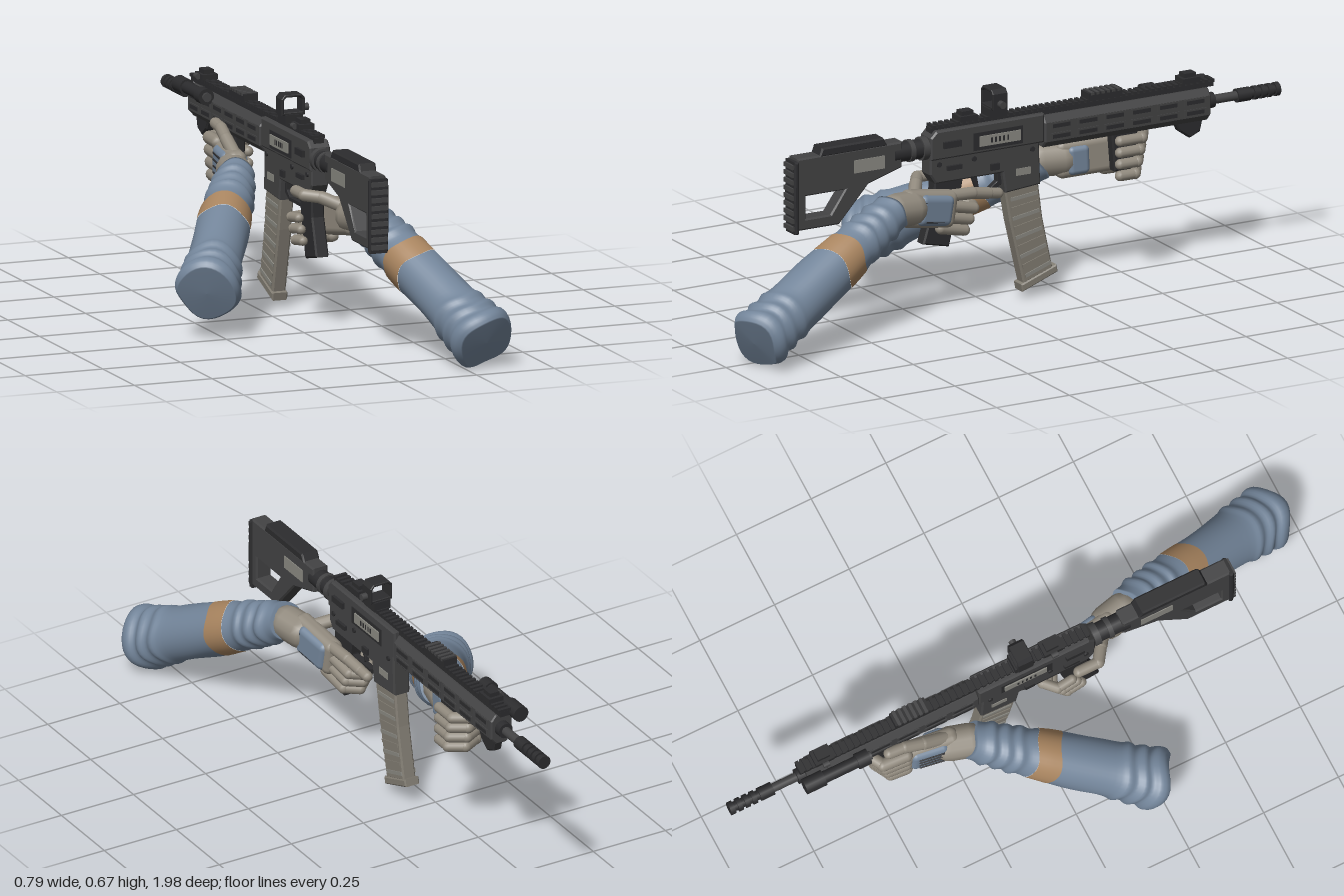
import * as THREE from 'three';
import { RoundedBoxGeometry } from 'three/addons/geometries/RoundedBoxGeometry.js';

const mat = (name, color) => new THREE.MeshStandardMaterial({ name, color });
const V = (p) => new THREE.Vector3(...p);
const CX = 0.068; // centre plane of the rifle

export function createModel() {
  const root = new THREE.Group();
  const gunmetal = mat('gunmetal', 0x434344), black = mat('black', 0x2c2c2e);
  const cloth = mat('sleeve blue', 0x73859a), tan = mat('tan band', 0xa8845f);
  const glove = mat('glove grey', 0x918a7e), magMat = mat('magazine grey', 0x817c72);
  const panel = mat('pale panel', 0x8a8982);

  const add = (name, geo, m, parent = root) => {
    const mesh = new THREE.Mesh(geo, m);
    mesh.name = name;
    parent.add(mesh);
    return mesh;
  };
  const group = (name) => {
    const g = new THREE.Group();
    g.name = name;
    root.add(g);
    return g;
  };
  const box = (name, m, w, h, d, x, y, z, parent) => {
    const b = add(name, new THREE.BoxGeometry(w, h, d), m, parent);
    b.position.set(x, y, z);
    return b;
  };
  const outline = (pts, Type = THREE.Shape) => new Type(pts.map((p) => new THREE.Vector2(...p)));
  const extrude = (pts, depth, bevel, holes = []) => {
    const s = outline(pts);
    s.holes = holes.map((h) => outline(h, THREE.Path));
    const g = new THREE.ExtrudeGeometry(s, {
      depth: depth - 2 * bevel, bevelEnabled: bevel > 0, bevelSize: bevel,
      bevelThickness: bevel, bevelOffset: -bevel, bevelSegments: 1,
    });
    return g.translate(0, 0, bevel - depth / 2);
  };
  // Side profile given as [z, y], extruded across x
  const side = (name, m, pts, width, parent, holes, bevel = 0.005) => {
    const g = extrude(pts, width, bevel, holes).rotateY(-Math.PI / 2).translate(CX, 0, 0);
    return add(name, g, m, parent);
  };
  // Cylinder along z
  const rod = (name, m, r, z0, z1, x, y, parent, n = 18) => {
    const g = new THREE.CylinderGeometry(r, r, Math.abs(z1 - z0), n).rotateX(Math.PI / 2);
    return add(name, g.translate(x, y, (z0 + z1) / 2), m, parent);
  };

  // Receiver and magazine well
  const rec = group('receiver');
  side('upperReceiver', gunmetal, [[0.21, 0.505], [0.21, 0.575], [0.19, 0.595], [-0.18, 0.595], [-0.18, 0.505]], 0.066, rec);
  side('lowerReceiver', gunmetal, [[0.21, 0.51], [-0.165, 0.51], [-0.17, 0.375], [-0.05, 0.365], [-0.04, 0.43], [0.19, 0.43], [0.21, 0.46]], 0.056, rec);
  box('ejectionFrame', black, 0.07, 0.055, 0.17, CX, 0.543, -0.02, rec);
  box('ejectionCover', panel, 0.078, 0.032, 0.14, CX, 0.543, -0.025, rec);
  for (let i = 0; i < 5; i++) box('coverNotch', black, 0.08, 0.016, 0.006, CX, 0.543, 0.005 - i * 0.014, rec);
  box('forwardAssist', black, 0.084, 0.02, 0.06, CX, 0.55, 0.14, rec);
  box('magazineCatch', black, 0.072, 0.02, 0.03, CX, 0.455, -0.01, rec);
  box('selector', black, 0.074, 0.014, 0.05, CX, 0.475, 0.13, rec);
  box('magazineWellPanel', panel, 0.06, 0.022, 0.05, CX, 0.425, -0.11, rec);
  for (const z of [0.18, 0.06, -0.14]) {
    const pin = add('pin', new THREE.CylinderGeometry(0.008, 0.008, 0.066, 10), black, rec);
    pin.rotation.z = Math.PI / 2;
    pin.position.set(CX, 0.49, z);
  }
  side('triggerGuard', black, [[0.11, 0.435], [-0.045, 0.435], [-0.045, 0.39], [-0.01, 0.37], [0.11, 0.37]], 0.02, rec,
    [[[0.1, 0.425], [-0.03, 0.425], [-0.03, 0.4], [-0.005, 0.382], [0.1, 0.382]]], 0.001);
  side('trigger', black, [[0.06, 0.44], [0.04, 0.44], [0.03, 0.39], [0.04, 0.385]], 0.012, rec, [], 0.001);
  side('grip', black, [[0.19, 0.44], [0.09, 0.44], [0.105, 0.36], [0.14, 0.225], [0.23, 0.245], [0.195, 0.36]], 0.042, rec);

  // Curved ribbed magazine
  const mag = group('magazine');
  side('magazineBody', magMat, [[-0.045, 0.4], [-0.068, 0.27], [-0.115, 0.07], [-0.215, 0.105], [-0.18, 0.27], [-0.163, 0.4]], 0.044, mag);
  side('magazineBase', magMat, [[-0.105, 0.07], [-0.11, 0.046], [-0.232, 0.092], [-0.226, 0.115]], 0.05, mag, [], 0.004);
  for (let i = 0; i < 9; i++) {
    const t = i / 8, y = 0.345 - 0.235 * t;
    const rib = box('magazineRib', i % 2 ? magMat : panel, 0.05, 0.011, 0.092, CX, y, -0.115 - 0.018 * t - 0.03 * t * t, mag);
    rib.rotation.x = 0.1 + 0.24 * t;
  }

  // Octagonal handguard with slots
  const hand = group('handguard');
  const oct = [[-0.018, 0.485], [0.018, 0.485], [0.036, 0.505], [0.036, 0.565], [0.02, 0.585], [-0.02, 0.585], [-0.036, 0.565], [-0.036, 0.505]];
  add('handguardTube', extrude(oct, 0.57, 0.004).translate(CX, 0, -0.465), gunmetal, hand);
  for (let i = 0; i < 6; i++) {
    const z = -0.235 - i * 0.092;
    for (const y of [0.553, 0.52]) {
      box('slotRim', gunmetal, 0.077, 0.022, 0.074, CX, y, z, hand);
      box('slot', black, 0.08, 0.012, 0.06, CX, y, z, hand);
    }
    box('lowerSlot', black, 0.014, 0.006, 0.06, CX, 0.484, z, hand);
  }
  // Top rail with teeth
  box('railBase', black, 0.032, 0.016, 0.97, CX, 0.594, -0.285, hand);
  for (let i = 0; i < 48; i++) box('railTooth', black, 0.042, 0.01, 0.011, CX, 0.605, 0.19 - i * 0.0203, hand);
  box('railCover', black, 0.046, 0.024, 0.115, CX, 0.618, -0.395, hand);
  for (let i = 0; i < 6; i++) box('railCoverRib', gunmetal, 0.05, 0.008, 0.01, CX, 0.628, -0.35 - i * 0.018, hand);
  side('handStop', black, [[-0.64, 0.49], [-0.655, 0.46], [-0.69, 0.435], [-0.725, 0.45], [-0.735, 0.49]], 0.032, hand);
  side('foregrip', black, [[-0.42, 0.49], [-0.43, 0.37], [-0.5, 0.37], [-0.51, 0.49]], 0.035, hand);

  // Barrel and ringed muzzle
  const barrel = group('barrel');
  rod('barrelTube', gunmetal, 0.014, -0.74, -0.88, CX, 0.538, barrel);
  rod('barrelCollar', black, 0.024, -0.745, -0.775, CX, 0.538, barrel);
  rod('muzzleCore', black, 0.015, -0.86, -0.998, CX, 0.538, barrel);
  rod('muzzleSleeve', black, 0.021, -0.855, -0.9, CX, 0.538, barrel);
  for (let i = 0; i < 3; i++) rod('muzzleRing', black, 0.021, -0.912 - i * 0.024, -0.926 - i * 0.024, CX, 0.538, barrel);
  rod('muzzleTip', black, 0.021, -0.985, -1.0, CX, 0.538, barrel);

  // Torch on its side mount
  const torch = group('torch');
  rod('torchBody', black, 0.019, -0.58, -0.72, 0.015, 0.58, torch);
  rod('torchHead', black, 0.025, -0.71, -0.775, 0.015, 0.58, torch);
  rod('torchCap', black, 0.025, -0.56, -0.6, 0.015, 0.58, torch);
  rod('torchButton', gunmetal, 0.014, -0.552, -0.562, 0.015, 0.58, torch);
  box('torchMount', gunmetal, 0.035, 0.025, 0.07, 0.035, 0.575, -0.65, torch);

  // Optic and folding sights
  const sight = group('optic');
  const frame = [[-0.038, 0.632], [0.038, 0.632], [0.038, 0.682], [0.027, 0.695], [-0.027, 0.695], [-0.038, 0.682]];
  const hole = [[-0.03, 0.641], [0.03, 0.641], [0.03, 0.679], [0.023, 0.687], [-0.023, 0.687], [-0.03, 0.679]];
  add('opticFrame', extrude(frame, 0.05, 0.002, [hole]).translate(CX, 0, -0.025), black, sight);
  box('opticBase', black, 0.055, 0.03, 0.06, CX, 0.62, -0.025, sight);
  const knob = add('opticKnob', new THREE.CylinderGeometry(0.011, 0.011, 0.02, 14).rotateZ(Math.PI / 2), gunmetal, sight);
  knob.position.set(0.114, 0.65, -0.025);
  for (const z of [0.075, -0.69]) {
    box('foldingSightBase', black, 0.05, 0.016, 0.06, CX, 0.617, z, sight);
    box('foldingSightLeaf', black, 0.032, 0.014, 0.04, CX, 0.631, z, sight);
    rod('foldingSightKnob', gunmetal, 0.009, z - 0.01, z + 0.01, CX - 0.03, 0.617, sight, 10);
  }

  // Stock and its tube
  const stock = group('stock');
  rod('stockTube', black, 0.03, 0.2, 0.33, CX, 0.54, stock);
  rod('stockRing', gunmetal, 0.036, 0.212, 0.232, CX, 0.54, stock);
  rod('stockRing', gunmetal, 0.034, 0.26, 0.275, CX, 0.54, stock);
  side('stockBody', gunmetal, [[0.665, 0.58], [0.305, 0.58], [0.305, 0.5], [0.42, 0.465], [0.52, 0.355], [0.665, 0.355]], 0.052, stock,
    [[[0.635, 0.46], [0.5, 0.46], [0.55, 0.39], [0.635, 0.39]]]);
  side('cheekRest', black, [[0.59, 0.575], [0.58, 0.602], [0.37, 0.602], [0.355, 0.575]], 0.056, stock);
  box('stockPanel', panel, 0.057, 0.04, 0.105, CX, 0.527, 0.418, stock);
  side('buttPad', black, [[0.66, 0.572], [0.676, 0.572], [0.678, 0.45], [0.674, 0.345], [0.66, 0.345]], 0.062, stock);
  for (let i = 0; i < 9; i++) box('buttRib', gunmetal, 0.052, 0.014, 0.014, CX, 0.556 - i * 0.024, 0.676, stock);

  // Wrinkled sleeve from elbow to wrist, in three bands of cloth
  const smooth = (pts) => new THREE.SplineCurve(pts.map(([t, r]) => new THREE.Vector2(r, t))).getPoints(pts.length * 3);
  const lower = smooth([[0, 0.086], [0.025, 0.098], [0.06, 0.1], [0.095, 0.089], [0.13, 0.096], [0.17, 0.086], [0.21, 0.092], [0.26, 0.084], [0.4, 0.081], [0.56, 0.079]]);
  const upper = smooth([[0.68, 0.076], [0.73, 0.071], [0.77, 0.077], [0.8, 0.068], [0.84, 0.073], [0.875, 0.063], [0.91, 0.07], [0.95, 0.06], [1, 0.059]]);
  lower.unshift(new THREE.Vector2(0, -0.005));
  upper.push(new THREE.Vector2(0, 1));
  const middle = smooth([[0.56, 0.08], [0.62, 0.079], [0.68, 0.077]]);
  const sleeve = (name, from, to, phase) => {
    const g = group(name), a = V(from), dir = V(to).sub(a), len = dir.length();
    [['lowerSleeve', lower, cloth], ['sleeveBand', middle, tan], ['upperSleeve', upper, cloth]].forEach(([n, pts, m]) => {
      const geo = new THREE.LatheGeometry(pts.map((p) => new THREE.Vector2(p.x, p.y * len)), 36);
      const pos = geo.attributes.position;
      for (let i = 0; i < pos.count; i++) {
        const x = pos.getX(i), y = pos.getY(i), z = pos.getZ(i);
        const ang = Math.atan2(z, x), t = y / len, r = Math.hypot(x, z);
        const k = 1 + 0.03 * Math.sin(2 * ang + 9 * t + phase) + 0.014 * Math.sin(5 * ang - 18 * t + phase);
        pos.setXYZ(i, x * k, y + 0.1 * r * Math.sin(3 * ang + phase), z * k);
      }
      add(n, geo, m, g);
    });
    g.position.copy(a);
    g.quaternion.setFromUnitVectors(new THREE.Vector3(0, 1, 0), dir.normalize());
  };
  sleeve('leftSleeve', [0.309, 0.106, 0.935], [0.15, 0.39, 0.37], 0);
  sleeve('rightSleeve', [-0.313, 0.17, 0.25], [-0.02, 0.41, -0.24], 2);

  // Gloved hands: capsules for joints, rounded slabs for palms
  const limb = (name, a, b, r, m, parent) => {
    const p = V(a), d = V(b).sub(p), l = d.length();
    const c = add(name, new THREE.CapsuleGeometry(r, l, 4, 12), m, parent);
    c.position.copy(p).addScaledVector(d, 0.5);
    c.quaternion.setFromUnitVectors(new THREE.Vector3(0, 1, 0), d.normalize());
  };
  const finger = (name, pts, r, parent) => {
    for (let i = 0; i + 1 < pts.length; i++) limb(name, pts[i], pts[i + 1], r * (1 - 0.06 * i), glove, parent);
  };
  const slab = (name, a, b, w, h, m, parent) => {
    const p = V(a), q = V(b);
    const s = add(name, new RoundedBoxGeometry(w, h, p.distanceTo(q), 3, Math.min(w, h) * 0.4), m, parent);
    s.position.copy(p).add(q).multiplyScalar(0.5);
    s.lookAt(q);
  };

  // Hand around the pistol grip
  const h1 = group('gripHand');
  limb('gloveCuff', [0.148, 0.387, 0.36], [0.135, 0.382, 0.3], 0.053, glove, h1);
  slab('palm', [0.132, 0.385, 0.33], [0.112, 0.352, 0.14], 0.058, 0.115, glove, h1);
  slab('backOfHand', [0.146, 0.378, 0.285], [0.128, 0.354, 0.16], 0.05, 0.095, cloth, h1);
  for (let i = 0; i < 4; i++) slab('gloveSlit', [0.165, 0.401 - i * 0.02, 0.265], [0.152, 0.385 - i * 0.02, 0.18], 0.006, 0.005, black, h1);
  finger('indexFinger', [[0.118, 0.395, 0.16], [0.112, 0.39, 0.075], [0.104, 0.378, 0.015], [0.1, 0.372, -0.02]], 0.019, h1);
  for (let i = 0; i < 3; i++) {
    const y = 0.362 - i * 0.032, z = i * 0.016;
    finger('curledFinger', [[0.118, y, 0.155 + z], [0.11, y - 0.02, 0.07 + z], [0.065, y - 0.026, 0.048 + z], [0.028, y - 0.02, 0.08 + z], [0.032, y - 0.014, 0.13 + z]], 0.018, h1);
  }
  finger('thumb', [[0.105, 0.41, 0.27], [0.06, 0.43, 0.24], [0.016, 0.435, 0.21], [0.016, 0.435, 0.145]], 0.02, h1);

  // Hand around the foregrip
  const h2 = group('foregripHand');
  limb('gloveCuff', [-0.022, 0.41, -0.24], [-0.005, 0.412, -0.3], 0.053, glove, h2);
  slab('palm', [0.0, 0.41, -0.27], [0.022, 0.418, -0.47], 0.06, 0.12, glove, h2);
  slab('backOfHand', [-0.012, 0.412, -0.31], [0.004, 0.418, -0.43], 0.05, 0.1, cloth, h2);
  slab('palmPatch', [0.025, 0.408, -0.3], [0.03, 0.41, -0.37], 0.04, 0.09, cloth, h2);
  for (let i = 0; i < 4; i++) slab('gloveSlit', [-0.036, 0.442 - i * 0.02, -0.33], [-0.024, 0.445 - i * 0.02, -0.41], 0.006, 0.005, black, h2);
  for (let i = 0; i < 4; i++) {
    const y = 0.468 - i * 0.036, z = i * 0.008;
    finger('curledFinger', [[0.002, y, -0.44], [0.006, y, -0.515 + z], [0.055, y, -0.542 + z], [0.1, y, -0.515 + z], [0.1, y, -0.44]], 0.02, h2);
  }
  finger('thumb', [[0.005, 0.455, -0.31], [0.006, 0.49, -0.38], [0.014, 0.51, -0.44], [0.016, 0.515, -0.49]], 0.02, h2);

  return root;
}
